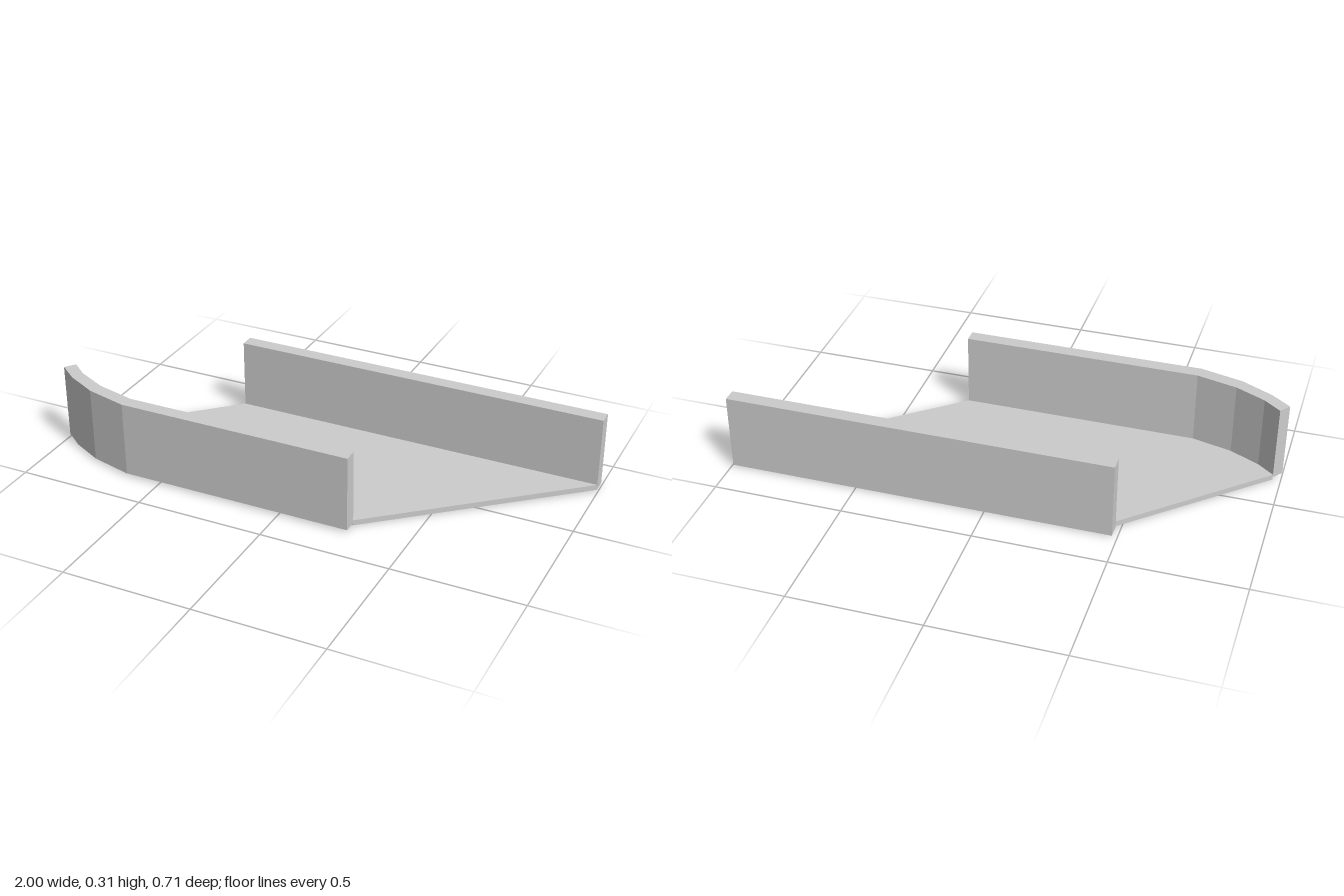
import * as THREE from 'three';

const material = new THREE.MeshStandardMaterial({ color: 0xcccccc, flatShading: true });

// Upright prism from a plan outline of [x, z] points
function prism(name, outline, bottom, top) {
  const shape = new THREE.Shape(outline.map(([x, z]) => new THREE.Vector2(x, -z)));
  const geometry = new THREE.ExtrudeGeometry(shape, { depth: top - bottom, bevelEnabled: false });
  geometry.rotateX(-Math.PI / 2).translate(0, bottom, 0);
  const mesh = new THREE.Mesh(geometry, material);
  mesh.name = name;
  return mesh;
}

export function createModel() {
  const model = new THREE.Group();
  model.name = 'channel';

  // Inner and outer lines of the front wall, curving in at the -x end
  const inner = [[0.275, 0.302], [-0.635, 0.302], [-0.79, 0.262], [-0.905, 0.205], [-0.97, 0.153]];
  const outer = [[0.275, 0.355], [-0.64, 0.355], [-0.805, 0.312], [-0.925, 0.25], [-1, 0.192]];

  // Slanted floor, bounded by the inner line of the front wall
  model.add(prism('floor', [[-0.48, -0.301], [0.995, -0.301], ...inner], 0.003, 0.0245));
  model.add(prism('frontWall', [...inner, ...outer.slice().reverse()], 0.0134, 0.3095));
  model.add(prism('backWall',
    [[-0.48, -0.357], [0.995, -0.357], [0.995, -0.302], [-0.48, -0.302]], 0.001, 0.297));

  // Very slight tilt, back edge higher
  model.rotation.x = 0.0095;
  return model;
}
